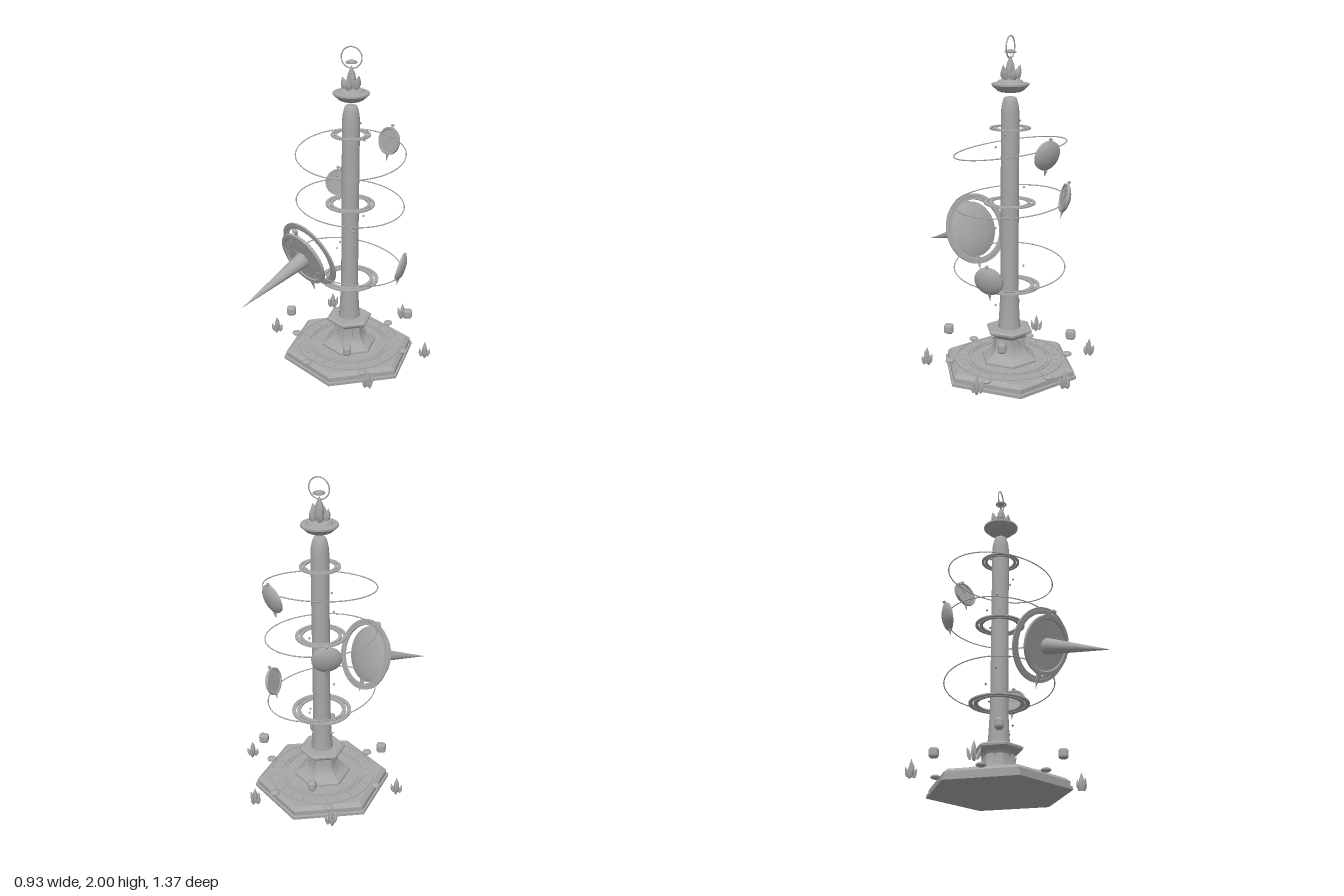
import * as THREE from 'three';
import { toCreasedNormals } from 'three/addons/utils/BufferGeometryUtils.js';
import { RoundedBoxGeometry } from 'three/addons/geometries/RoundedBoxGeometry.js';

const stone = new THREE.MeshStandardMaterial({ color: 0xa6a6a6 });
stone.name = 'grey stone';

function add(parent, name, geometry, x = 0, y = 0, z = 0) {
  const mesh = new THREE.Mesh(geometry, stone);
  mesh.name = name;
  mesh.position.set(x, y, z);
  parent.add(mesh);
  return mesh;
}

function group(parent, name, x = 0, y = 0, z = 0) {
  const g = new THREE.Group();
  g.name = name;
  g.position.set(x, y, z);
  parent.add(g);
  return g;
}

// Turned solid from [radius, height] pairs, listed from bottom to top
function turned(profile, sides = 40) {
  const points = profile.map(([r, y]) => new THREE.Vector2(r, y));
  return toCreasedNormals(new THREE.LatheGeometry(points, sides, Math.PI / 2), 0.6);
}

function flatRing(inner, outer, half) {
  return turned([[inner, -half], [outer, -half], [outer, half], [inner, half], [inner, -half]], 64);
}

// Point on a circle, with angle 0 at the front
const around = (r, a) => [r * Math.sin(a), r * Math.cos(a)];

// Faceted pointed crystal standing on y = 0
function crystal(r, h) {
  return turned([[0, 0], [r * 0.6, 0], [r, h * 0.35], [r * 0.75, h * 0.65], [0, h]], 6);
}

function crystalCluster(parent, name, x, y, z, r, h, count) {
  const g = group(parent, name, x, y, z);
  add(g, 'mainCrystal', crystal(r, h));
  for (let i = 0; i < count; i++) {
    const a = (i / count) * Math.PI * 2 + 0.4;
    const [cx, cz] = around(r * 1.1, a);
    const c = add(g, 'sideCrystal', crystal(r * 0.7, h * (0.55 + 0.12 * (i % 2))), cx, 0, cz);
    c.rotation.set(Math.cos(a) * 0.25, 0, -Math.sin(a) * 0.25);
  }
  return g;
}

// Round clock facing +z with a domed back, top knob and lower spike
function clock(parent, name, x, y, z, turn, tilt) {
  const g = group(parent, name, x, y, z);
  g.rotation.set(tilt, turn, 0, 'YXZ');
  const body = turned([[0, -0.026], [0.045, -0.022], [0.074, -0.01], [0.085, 0], [0.085, 0.014],
    [0.074, 0.014], [0.071, 0.008], [0, 0.008]], 48);
  add(g, 'clockBody', body).rotation.x = Math.PI / 2;
  for (let i = 0; i < 12; i++) {
    const [mx, my] = around(0.062, (i * Math.PI) / 6);
    add(g, 'hourMark', new THREE.BoxGeometry(0.002, 0.009, 0.003), mx, my, 0.009).rotation.z = (-i * Math.PI) / 6;
  }
  for (const [length, angle] of [[0.055, 0.85], [0.036, -0.9]]) {
    const [hx, hy] = around(length / 2, angle);
    add(g, 'clockHand', new THREE.BoxGeometry(0.003, length, 0.003), hx, hy, 0.011).rotation.z = -angle;
  }
  add(g, 'knobStem', new THREE.CylinderGeometry(0.005, 0.007, 0.014, 10), 0, 0.09, 0);
  add(g, 'knob', new THREE.SphereGeometry(0.011, 14, 8), 0, 0.098, 0).scale.y = 0.6;
  const spike = add(g, 'lowerSpike', new THREE.ConeGeometry(0.01, 0.045, 8), 0, -0.104, 0);
  spike.rotation.x = Math.PI;
  return g;
}

export function createModel() {
  const model = new THREE.Group();
  model.name = 'clockMonument';
  const tower = group(model, 'tower', 0, 0, -0.155);

  // Stepped six-sided base with inlaid circles and hour ticks
  add(tower, 'base', turned([[0, 0], [0.425, 0], [0.425, 0.018], [0.411, 0.02], [0.411, 0.048],
    [0.385, 0.068], [0, 0.068]], 6));
  for (const r of [0.325, 0.255, 0.235])
    add(tower, 'baseCircle', flatRing(r - 0.004, r + 0.002, 0.003), 0, 0.07, 0);
  for (let i = 0; i < 24; i++) {
    const a = (i * Math.PI) / 12;
    const [x, z] = around(0.288, a);
    add(tower, 'baseTick', new THREE.BoxGeometry(0.005, 0.005, i % 2 ? 0.015 : 0.035), x, 0.07, z).rotation.y = a;
  }

  // Six-sided pedestal
  add(tower, 'pedestal', turned([[0, 0.066], [0.175, 0.066], [0.175, 0.08], [0.165, 0.088], [0.135, 0.105],
    [0.112, 0.13], [0.1, 0.16], [0.096, 0.215], [0.108, 0.232], [0.143, 0.25], [0.145, 0.262],
    [0.13, 0.272], [0, 0.272]], 6));
  for (let i = 0; i < 6; i++) {
    const a = (i * Math.PI) / 3;
    const [x, z] = around(0.098, a);
    const mark = group(tower, 'carvedMark', x, 0.19, z);
    mark.rotation.y = a;
    add(mark, 'stroke', new THREE.BoxGeometry(0.005, 0.05, 0.006), 0, -0.005, 0);
    for (const s of [-1, 1])
      add(mark, 'branch', new THREE.BoxGeometry(0.004, 0.028, 0.006), s * 0.009, 0.014, 0).rotation.z = -s * 0.7;
  }

  // Shaft
  add(tower, 'shaft', turned([[0, 0.27], [0.068, 0.27], [0.062, 0.33], [0.056, 0.45], [0.053, 0.6],
    [0.053, 1.56], [0.05, 1.595], [0.044, 1.625], [0.036, 1.65], [0.03, 1.655], [0, 1.657]], 28));

  // Tiny shards spiralling up the shaft
  for (let i = 0; i < 16; i++) {
    const [x, z] = around(0.083, i * 1.05);
    add(tower, 'floatingShard', new THREE.OctahedronGeometry(0.009), x, 0.33 + i * 0.08, z);
  }

  // Flat double rings around the shaft
  for (const [y, r] of [[0.535, 0.18], [1.04, 0.15], [1.478, 0.118]]) {
    add(tower, 'outerFlatRing', flatRing(r * 0.87, r, 0.004), 0, y, 0);
    add(tower, 'innerFlatRing', flatRing(r * 0.7, r * 0.83, 0.004), 0, y, 0);
  }

  // Tilted thin orbits; slopes along x and z
  for (const [y, a, b] of [[1.362, -0.1, -0.11], [1.05, -0.095, 0], [0.655, -0.1, 0.11]]) {
    const orbit = add(tower, 'orbit', new THREE.TorusGeometry(0.327, 0.0035, 6, 96).rotateX(Math.PI / 2), 0, y, 0);
    orbit.quaternion.setFromUnitVectors(new THREE.Vector3(0, 1, 0), new THREE.Vector3(-a, 1, -b).normalize());
  }

  // Small clocks riding the orbits, facing inward
  for (const [y, turn] of [[1.365, 0], [1.055, Math.PI / 3], [0.658, -Math.PI / 3]]) {
    const [x, z] = around(-0.329, turn);
    clock(tower, 'smallClock', x, y, z, turn, -0.22);
  }

  // Large front clock with its halo and long cone
  const big = clock(tower, 'largeClock', 0, 0.797, 0.37, 0, 0.33);
  big.scale.set(2.05, 2.05, 1.2);
  const halo = group(tower, 'haloMount', 0, 0.81, 0.33);
  halo.rotation.x = 0.33;
  add(halo, 'halo', flatRing(0.18, 0.218, 0.005)).rotation.x = Math.PI / 2;
  add(halo, 'haloBead', new THREE.TorusGeometry(0.2, 0.007, 6, 64));
  const cone = add(halo, 'longCone', new THREE.ConeGeometry(0.048, 0.485, 28), 0, -0.005, 0.292);
  cone.rotation.x = Math.PI / 2;

  // Crown dish with crystals, gem and upright ring
  add(tower, 'crownDish', turned([[0, 1.682], [0.058, 1.684], [0.075, 1.692], [0.107, 1.722], [0.107, 1.732],
    [0.075, 1.736], [0.066, 1.75], [0.04, 1.756], [0, 1.757]], 32));
  crystalCluster(tower, 'crownCrystals', 0, 1.745, 0, 0.03, 0.145, 5);
  add(tower, 'crownGem', new THREE.SphereGeometry(0.024, 12, 8), 0, 1.91, 0).scale.y = 0.5;
  add(tower, 'gemBand', new THREE.TorusGeometry(0.03, 0.005, 6, 24).rotateX(Math.PI / 2), 0, 1.907, 0);
  add(tower, 'crownRing', new THREE.TorusGeometry(0.062, 0.004, 8, 48), 0, 1.934, 0).rotation.y = 0.5;

  // Floating crystal clusters; the front place is left open
  for (let i = 1; i < 6; i++) {
    const [x, z] = around(0.498, (i * Math.PI) / 3);
    crystalCluster(tower, 'floatingCrystals', x, 0.06, z, 0.017, 0.105, 4).rotation.y = i;
  }

  // Pebbles on the base edge and floating rounded stones
  for (let i = 0; i < 6; i++) {
    const [x, z] = around(0.36, (i * Math.PI) / 3);
    add(tower, 'pebble', new THREE.SphereGeometry(0.029, 16, 10), x, 0.07, z).scale.y = 0.45;
  }
  for (let i = 0; i < 4; i++) {
    const a = Math.PI / 4 + (i * Math.PI) / 2;
    const [x, z] = around(0.37, a);
    add(tower, 'floatingStone', new RoundedBoxGeometry(0.048, 0.062, 0.058, 3, 0.018), x, i % 2 ? 0.29 : 0.237, z).rotation.y = a;
  }
  return model;
}
